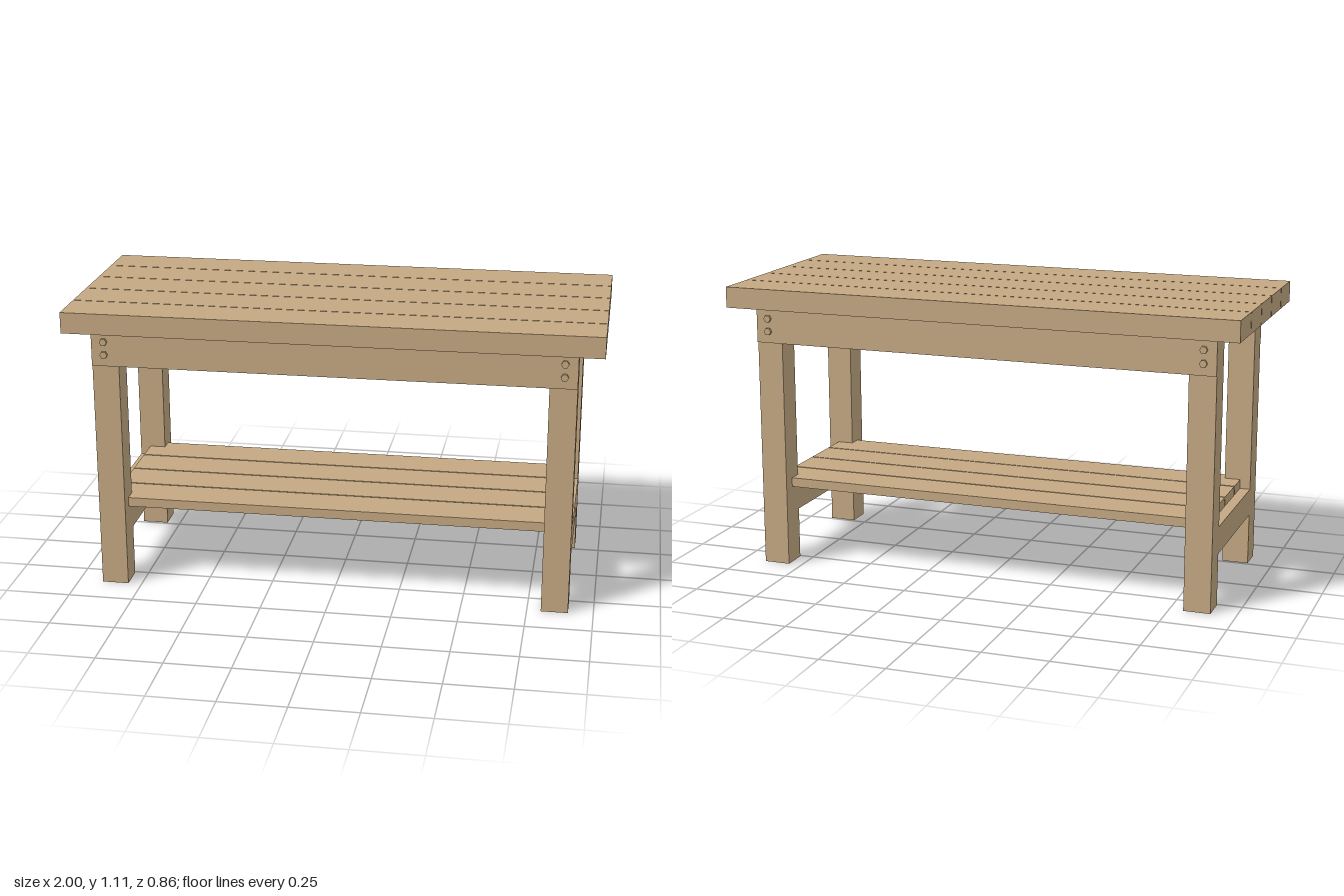
import * as THREE from 'three';

export function createModel() {
  const group = new THREE.Group();
  const wood = new THREE.MeshStandardMaterial({ color: 0xc4a882 });
  wood.name = 'wood';

  // Board given by its extents along each axis
  const board = (name, [x0, x1], [y0, y1], [z0, z1]) => {
    const mesh = new THREE.Mesh(new THREE.BoxGeometry(x1 - x0, y1 - y0, z1 - z0), wood);
    mesh.position.set((x0 + x1) / 2, (y0 + y1) / 2, (z0 + z1) / 2);
    mesh.name = name;
    group.add(mesh);
  };

  // Row of equal planks spread across the depth, separated by narrow gaps
  const planks = (name, count, halfLength, y, halfDepth, gap) => {
    const width = (2 * halfDepth - gap * (count - 1)) / count;
    for (let i = 0; i < count; i++) {
      const z = -halfDepth + i * (width + gap);
      board(name + (i + 1), [-halfLength, halfLength], y, [z, z + width]);
    }
  };

  planks('topPlank', 5, 1, [1.03, 1.11], 0.429, 0.004);
  planks('shelfPlank', 4, 0.865, [0.305, 0.341], 0.311, 0.006);

  // Mirrors a range to the chosen side
  const side = (s, a, b) => (s > 0 ? [a, b] : [-b, -a]);

  // Hexagonal bolt head, axis along z, corners pointing sideways
  const boltGeometry = new THREE.CylinderGeometry(0.0145, 0.0145, 0.013, 6)
    .rotateY(Math.PI / 6).rotateX(Math.PI / 2).toNonIndexed();
  boltGeometry.computeVertexNormals();

  for (const sz of [1, -1]) {
    // Long apron let into the outer faces of the legs
    board('apron', [-0.905, 0.905], [0.89, 1.03], side(sz, 0.325, 0.366));
    for (const sx of [1, -1]) {
      board('leg', side(sx, 0.803, 0.905), [0, 1.03], side(sz, 0.259, 0.36));
      for (const y of [0.935, 0.985]) {
        const bolt = new THREE.Mesh(boltGeometry, wood);
        bolt.position.set(sx * 0.857, y, sz * 0.3705);
        bolt.name = 'boltHead';
        group.add(bolt);
      }
    }
  }

  // End rails carrying the shelf
  for (const sx of [1, -1]) {
    board('endRail', side(sx, 0.803, 0.905), [0.2, 0.305], [-0.259, 0.259]);
  }
  return group;
}
